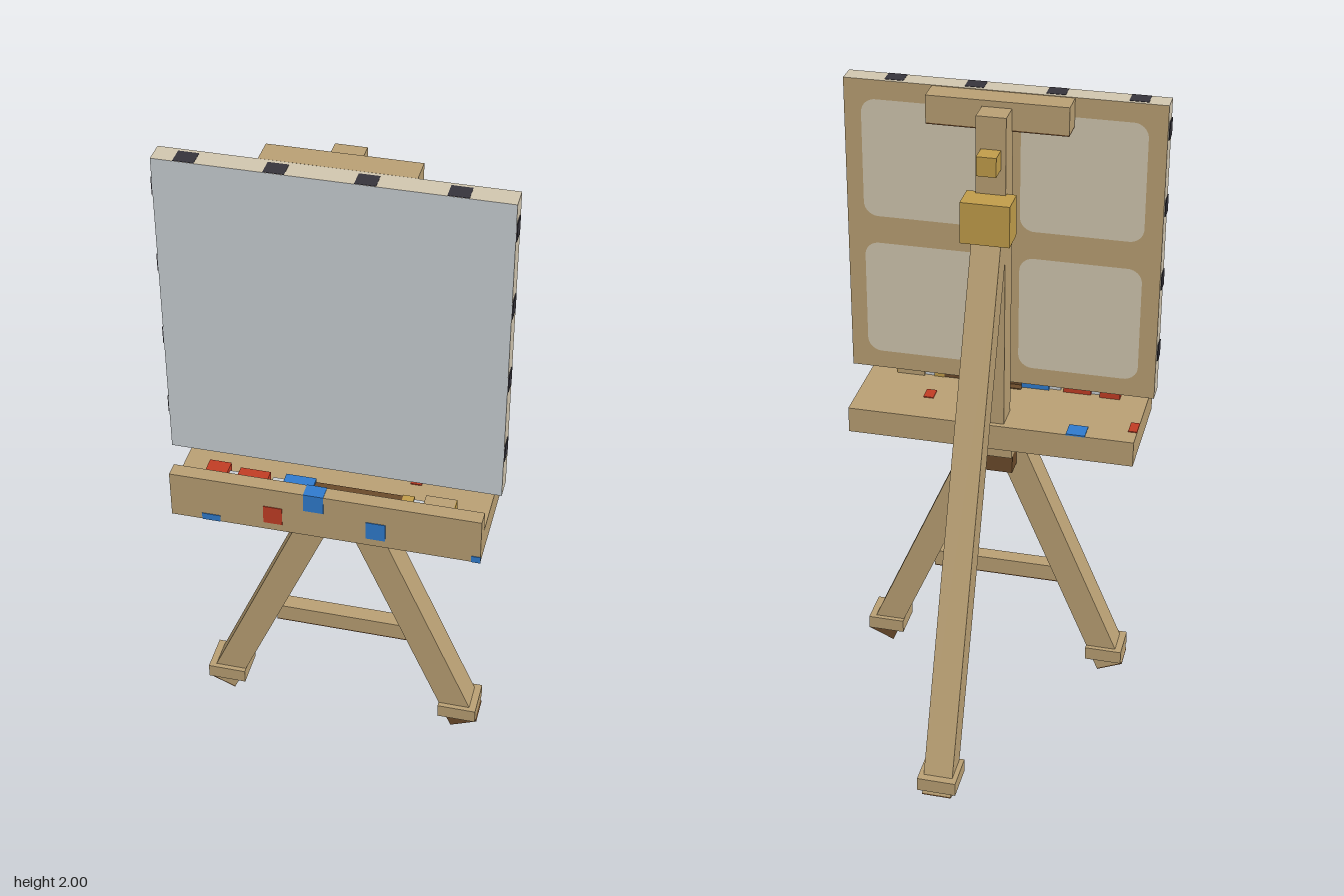
import * as THREE from 'three';

const mat = (name, color, extra = {}) => {
  const m = new THREE.MeshStandardMaterial({ color, ...extra });
  m.name = name;
  return m;
};

export function createModel() {
  const wood = mat('wood', 0xb89f73);
  const cream = mat('raw canvas', 0xd0c5ae);
  const paper = mat('primed canvas', 0xc8ced2);
  const black = mat('black tack', 0x36343b);
  const brass = mat('brass', 0xc09c4a);
  const brown = mat('dark brown', 0x6a4a2a);
  const red = mat('red paint', 0xc03c24);
  const blue = mat('blue paint', 0x2f7acc);

  const model = new THREE.Group();
  model.name = 'easel';

  const add = (name, geometry, material, parent = model) => {
    const mesh = new THREE.Mesh(geometry, material);
    mesh.name = name;
    parent.add(mesh);
    return mesh;
  };
  // Axis-aligned box given by its limits
  const box = (name, material, [x0, x1], [y0, y1], [z0, z1], parent) => {
    const m = add(name, new THREE.BoxGeometry(x1 - x0, y1 - y0, z1 - z0), material, parent);
    m.position.set((x0 + x1) / 2, (y0 + y1) / 2, (z0 + z1) / 2);
    return m;
  };
  // Square beam between two points
  const beam = (name, material, from, to, w, d) => {
    const a = new THREE.Vector3(...from), b = new THREE.Vector3(...to);
    const m = add(name, new THREE.BoxGeometry(w, a.distanceTo(b), d), material);
    m.position.copy(a).add(b).multiplyScalar(0.5);
    m.quaternion.setFromUnitVectors(new THREE.Vector3(0, 1, 0), b.sub(a).normalize());
    return m;
  };
  // Leg with its foot tip, dark sole and collar
  const leg = (name, foot, top, w, d, tipMaterial) => {
    const f = new THREE.Vector3(...foot), t = new THREE.Vector3(...top);
    const at = (s) => f.clone().addScaledVector(t.clone().sub(f).normalize(), s).toArray();
    beam(name + 'Sole', brown, at(0), at(0.004), w, d);
    beam(name + 'Tip', tipMaterial, at(0.004), at(0.055), w, d);
    beam(name, wood, at(0.055), top, w, d);
    const c = at(0.055);
    box(name + 'Collar', wood, [c[0] - 0.06, c[0] + 0.06], [0.05, 0.095], [c[2] - 0.06, c[2] + 0.06]);
  };

  // Three legs and the cross bar
  for (const s of [-1, 1]) {
    leg(s > 0 ? 'leftLeg' : 'rightLeg', [s * 0.398, 0.02, 0.31], [s * 0.015, 0.91, 0.31], 0.09, 0.09, s > 0 ? brown : wood);
  }
  leg('backLeg', [0, 0.02, -0.48], [0, 1.63, 0.18], 0.09, 0.085, wood);
  box('crossBar', wood, [-0.21, 0.21], [0.328, 0.382], [0.285, 0.335]);
  box('crossBarUnderside', brown, [-0.21, 0.21], [0.324, 0.328], [0.285, 0.335]);

  // Mast, its socket, and the top clamp
  box('mast', wood, [-0.045, 0.045], [0.88, 1.98], [0.185, 0.275]);
  box('socket', wood, [-0.07, 0.07], [0.84, 0.88], [0.19, 0.27]);
  box('socketBase', brown, [-0.07, 0.07], [0.78, 0.84], [0.2, 0.268]);
  box('topClamp', wood, [-0.215, 0.215], [1.914, 1.999], [0.26, 0.338]);
  box('topClampUnderside', brown, [-0.215, 0.215], [1.91, 1.914], [0.26, 0.338]);

  // Brass hinge and knob
  box('hinge', brass, [-0.075, 0.075], [1.61, 1.74], [0.108, 0.198]);
  box('knob', brass, [-0.03, 0.03], [1.82, 1.88], [0.125, 0.188]);

  // Tray with front lip
  box('tray', wood, [-0.458, 0.456], [0.88, 0.965], [0.168, 0.49]);
  box('trayLip', wood, [-0.458, 0.456], [0.88, 1.03], [0.488, 0.533]);

  // Stretched canvas: grey front, cream edges, wooden back
  const canvas = new THREE.Group();
  canvas.name = 'canvas';
  model.add(canvas);
  box('canvasBoard', [cream, cream, cream, cream, paper, wood], [-0.49, 0.488], [1.03, 2], [0.34, 0.405], canvas);

  // Cream panels between the stretcher bars
  const panelShape = (w, h, r) => {
    const s = new THREE.Shape();
    s.absarc(w / 2 - r, h / 2 - r, r, 0, Math.PI / 2);
    s.absarc(-w / 2 + r, h / 2 - r, r, Math.PI / 2, Math.PI);
    s.absarc(-w / 2 + r, -h / 2 + r, r, Math.PI, Math.PI * 1.5);
    s.absarc(w / 2 - r, -h / 2 + r, r, Math.PI * 1.5, Math.PI * 2);
    return s;
  };
  const panelGeometry = new THREE.ShapeGeometry(panelShape(0.38, 0.38, 0.045), 5);
  for (const x of [-0.245, 0.245]) {
    for (const y of [1.28, 1.75]) {
      const p = add('backPanel', panelGeometry, cream, canvas);
      p.position.set(x, y, 0.338);
      p.rotation.y = Math.PI;
    }
  }

  // Tacks along the sides, top and bottom
  for (let i = 0; i < 4; i++) {
    const y = 1.182 + i * 0.244, x = -0.4 + i * 0.245;
    for (const [x0, x1] of [[-0.493, -0.489], [0.487, 0.491]]) {
      box('sideTack', black, [x0, x1], [y - 0.027, y + 0.027], [0.358, 0.404], canvas);
    }
    box('topTack', black, [x - 0.029, x + 0.029], [1.998, 2.001], [0.352, 0.404], canvas);
  }

  // Paint tubes and brush lying on the tray: material, x range, half width, height
  const tools = [
    ['redCap', red, -0.37, -0.305, 0.03, 0.045],
    ['redTubeNeck', paper, -0.305, -0.275, 0.013, 0.03],
    ['redTube', red, -0.275, -0.185, 0.022, 0.04],
    ['blueTubeNeck', paper, -0.175, -0.138, 0.013, 0.03],
    ['blueTube', blue, -0.138, -0.048, 0.023, 0.042],
    ['brushHandle', brown, -0.048, 0.21, 0.015, 0.035],
    ['brushFerrule', brass, 0.21, 0.243, 0.017, 0.037],
    ['brushNeck', paper, 0.243, 0.275, 0.012, 0.03],
    ['woodTube', wood, 0.275, 0.363, 0.022, 0.044],
    ['woodTubeEnd', brass, 0.363, 0.366, 0.022, 0.044],
  ];
  const toolGroup = new THREE.Group();
  toolGroup.name = 'paintTools';
  model.add(toolGroup);
  for (const [name, m, x0, x1, r, h] of tools) {
    box(name, m, [x0, x1], [0.965, 0.965 + h], [0.45 - r, 0.45 + r], toolGroup);
  }

  // Paint spots on the tray top: x range, z range
  const topSpots = [
    [blue, -0.305, -0.245, 0.168, 0.228],
    [red, -0.458, -0.43, 0.23, 0.285],
    [red, 0.21, 0.243, 0.29, 0.34],
    [red, -0.185, -0.13, 0.46, 0.487],
    [blue, 0.122, 0.18, 0.473, 0.487],
    [brown, -0.05, 0, 0.41, 0.435],
    [brass, 0, 0.06, 0.405, 0.433],
  ];
  for (const [m, x0, x1, z0, z1] of topSpots) {
    box('trayPaintSpot', m, [x0, x1], [0.963, 0.968], [z0, z1]);
  }

  // Paint spots on the lip front: x range, y range
  const lipSpots = [
    [red, -0.18, -0.124, 0.905, 0.965],
    [blue, 0.122, 0.18, 0.905, 0.965],
    [blue, -0.06, -0.001, 0.972, 1.032],
    [blue, -0.365, -0.31, 0.88, 0.902],
    [blue, 0.43, 0.457, 0.88, 0.902],
  ];
  for (const [m, x0, x1, y0, y1] of lipSpots) {
    box('lipPaintSpot', m, [x0, x1], [y0, y1], [0.531, 0.535]);
  }
  box('lipTopSpot', blue, [-0.06, -0.001], [1.028, 1.032], [0.488, 0.534]);

  return model;
}
